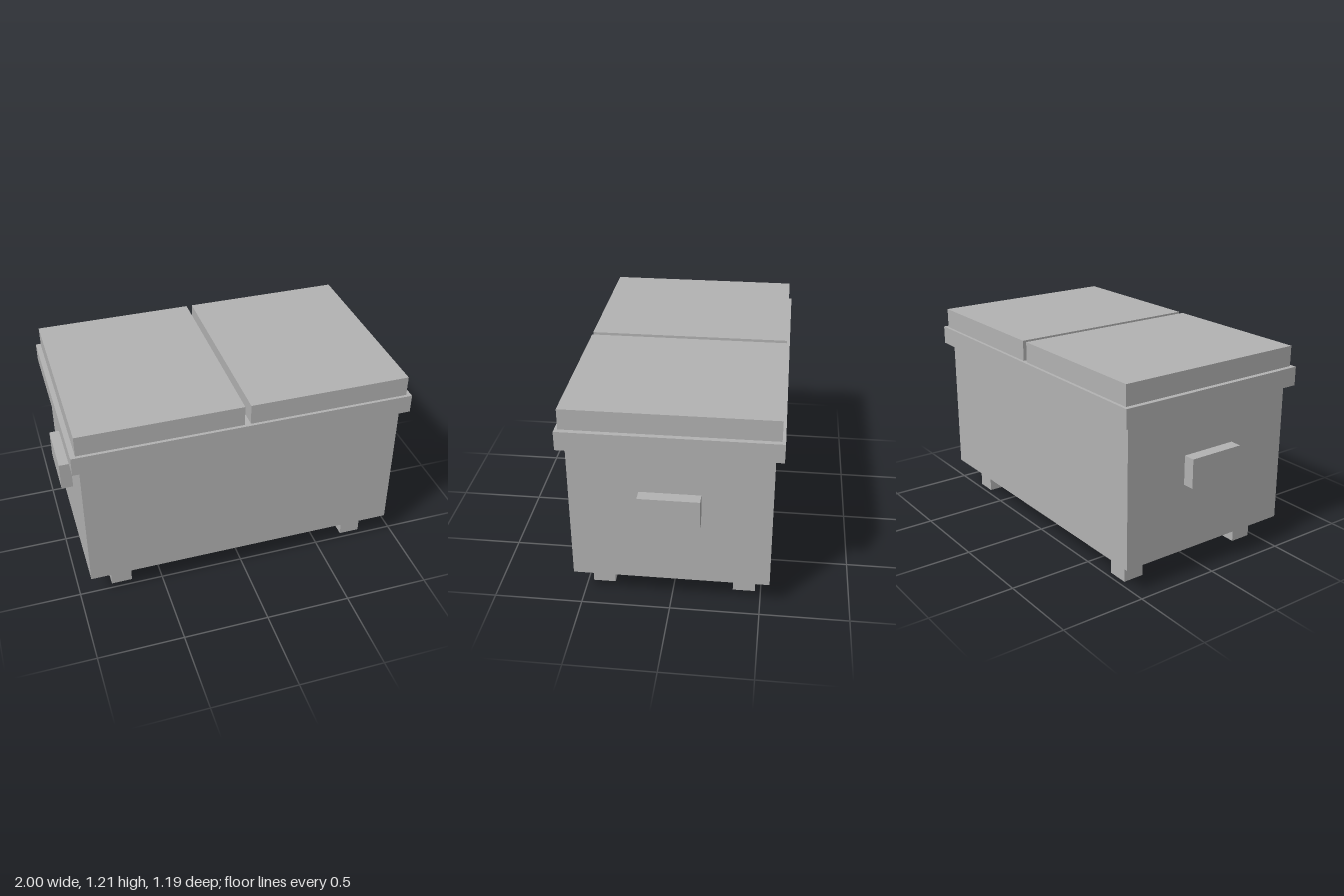
import * as THREE from 'three';

export function createModel() {
  const model = new THREE.Group();
  model.name = 'dumpster';

  const grey = new THREE.MeshStandardMaterial({ color: 0xb2b2b2 });
  grey.name = 'plain grey';

  // Box given by its lower and upper limits on each axis
  function addBox(name, [x0, x1], [y0, y1], [z0, z1]) {
    const mesh = new THREE.Mesh(new THREE.BoxGeometry(x1 - x0, y1 - y0, z1 - z0), grey);
    mesh.position.set((x0 + x1) / 2, (y0 + y1) / 2, (z0 + z1) / 2);
    mesh.name = name;
    model.add(mesh);
    return mesh;
  }

  // Container and the wider rim on top of it
  addBox('body', [-0.932, 0.932], [0.156, 0.978], [-0.55, 0.55]);
  addBox('rim', [-0.975, 0.975], [0.978, 1.087], [-0.594, 0.594]);

  for (const side of [-1, 1]) {
    const label = side > 0 ? 'left' : 'right';
    const mirrored = (a, b) => (side > 0 ? [a, b] : [-b, -a]);

    // Lid half, leaving a narrow gap in the middle
    addBox(label + 'Lid', mirrored(0.017, 0.947), [1.087, 1.205], [-0.576, 0.576]);

    // Side handle block
    addBox(label + 'Handle', mirrored(0.932, 1), [0.553, 0.723], [-0.168, 0.168]);

    // Feet
    addBox(label + 'FrontFoot', mirrored(0.68, 0.803), [0, 0.156], [0.341, 0.468]);
    addBox(label + 'BackFoot', mirrored(0.68, 0.803), [0, 0.156], [-0.468, -0.341]);
  }

  return model;
}
